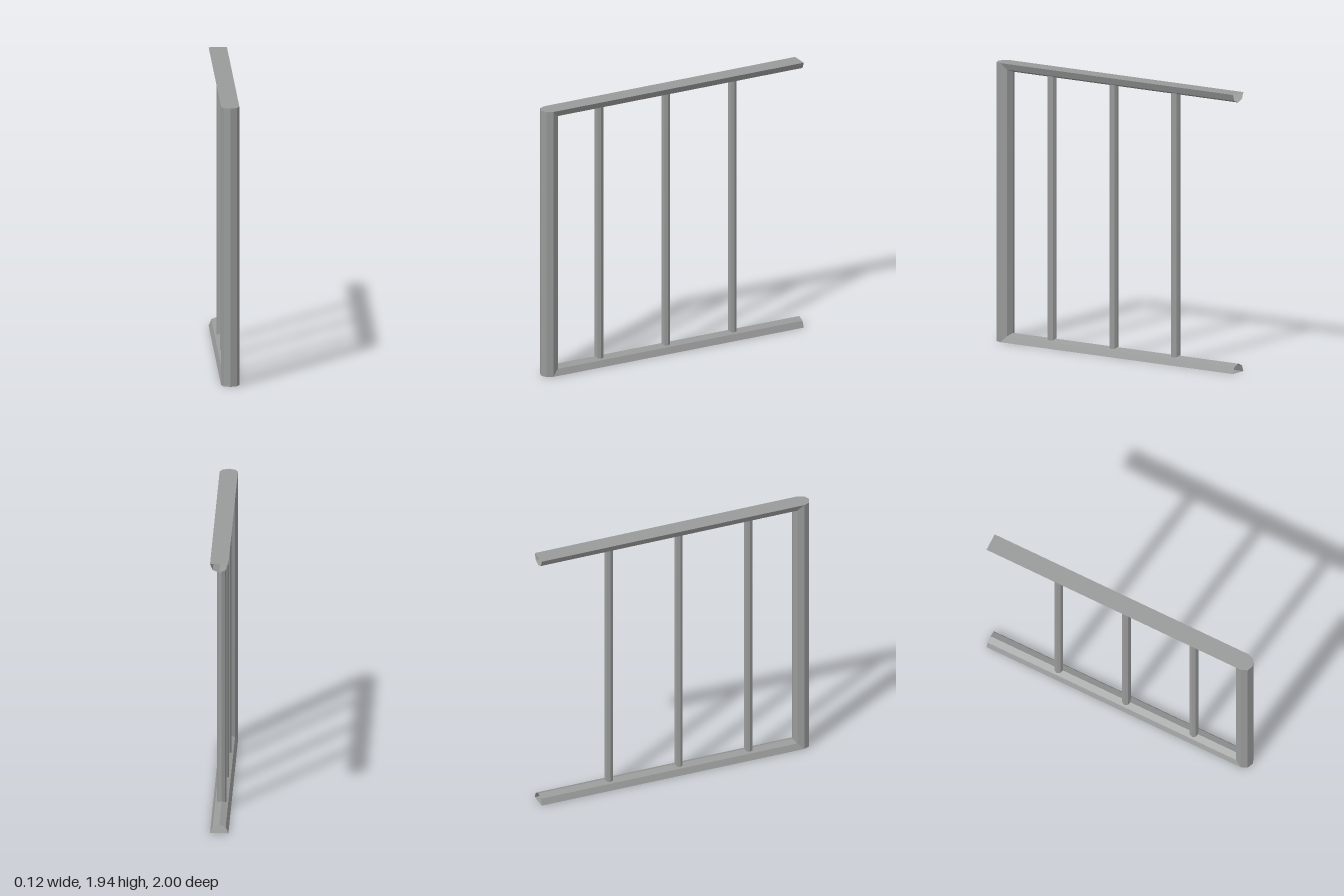
import * as THREE from 'three';

const R = 0.0625;      // rail and post radius
const H = 1.9375;      // overall height
const CORNER = 1 - R;  // z of the post axis
const BACK = -1;       // z of the open rail ends

// Half-octagon swept along lower rail, post and upper rail with mitred corners
function innerFrameGeometry() {
  const profile = [];
  for (let i = 0; i <= 4; i++) {
    const a = Math.PI * (1 - i / 4);
    profile.push([R * Math.cos(a), R * Math.sin(a)]);
  }
  // each section maps inward depth d to a [y, z] position
  const sections = [
    d => [d, BACK],
    d => [d, CORNER - d],
    d => [H - d, CORNER - d],
    d => [H - d, BACK],
  ];
  const positions = [];
  const index = [];
  for (const section of sections) {
    for (const [x, d] of profile) positions.push(x, ...section(d));
  }
  const n = profile.length;
  for (let k = 0; k < sections.length - 1; k++) {
    for (let i = 0; i < n - 1; i++) {
      const a = k * n + i, b = a + n;
      index.push(a, b, b + 1, a, b + 1, a + 1);
    }
  }
  const geometry = new THREE.BufferGeometry();
  geometry.setAttribute('position', new THREE.Float32BufferAttribute(positions, 3));
  geometry.setIndex(index);
  geometry.computeVertexNormals();
  return geometry;
}

export function createModel() {
  const group = new THREE.Group();
  group.name = 'railing';
  const steel = new THREE.MeshStandardMaterial({
    color: 0x999b9a, flatShading: true, side: THREE.DoubleSide,
  });
  steel.name = 'greySteel';

  const add = (name, geometry, x, y, z) => {
    const mesh = new THREE.Mesh(geometry, steel);
    mesh.name = name;
    mesh.position.set(x, y, z);
    group.add(mesh);
  };

  // Inward facets of both rails and the post
  add('innerFrame', innerFrameGeometry(), 0, 0, 0);

  // Rounded front half of the post, capped at both ends
  add('postFront', new THREE.CylinderGeometry(R, R, H, 4, 1, false, -Math.PI / 2, Math.PI),
    0, H / 2, CORNER);

  // Flat outer faces of the rails
  const length = CORNER - BACK;
  for (const [name, y, turn] of [['lowerRailBase', 0, 1], ['upperRailTop', H, -1]]) {
    const plate = new THREE.PlaneGeometry(2 * R, length).rotateX(turn * Math.PI / 2);
    add(name, plate, 0, y, (CORNER + BACK) / 2);
  }

  // Upright octagonal bars, ends sunk into the rails
  const sink = 0.045;
  for (const z of [0.55, 0.035, -0.48]) {
    add('bar', new THREE.CylinderGeometry(R / 2, R / 2, H - 2 * sink, 8, 1, true), 0, H / 2, z);
  }
  return group;
}
